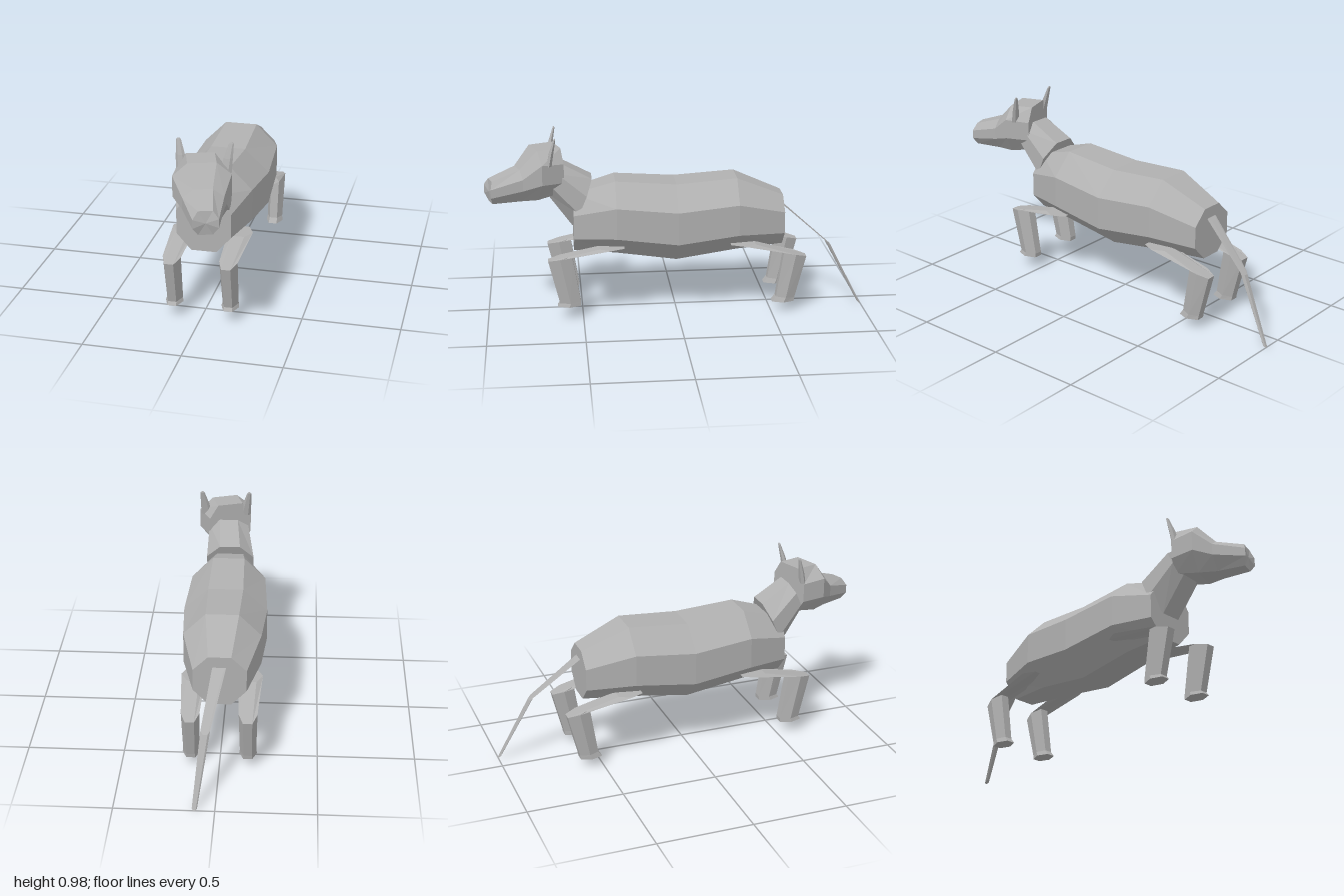
import * as THREE from 'three';

const coat = new THREE.MeshStandardMaterial({ color: 0xb0b0b0, flatShading: true });
coat.name = 'grey coat';

// Skin a list of equal-length rings into a closed, faceted solid facing outward
function loft(name, rings) {
  const tris = [];
  const n = rings[0].length;
  for (let r = 0; r < rings.length - 1; r++) {
    for (let i = 0; i < n; i++) {
      const j = (i + 1) % n;
      const a = rings[r][i], b = rings[r][j], c = rings[r + 1][j], d = rings[r + 1][i];
      tris.push([a, b, c], [a, c, d]);
    }
  }
  const cap = (ring, flip) => {
    const mid = ring.reduce((s, p) => s.add(p), new THREE.Vector3()).divideScalar(n);
    ring.forEach((p, i) => {
      const q = ring[(i + 1) % n];
      tris.push(flip ? [mid, q, p] : [mid, p, q]);
    });
  };
  cap(rings[0], true);
  cap(rings[rings.length - 1], false);

  // A negative enclosed volume means the faces point inward
  const volume = tris.reduce((s, [a, b, c]) => s + a.dot(b.clone().cross(c)), 0);
  const points = tris.flatMap(([a, b, c]) => (volume < 0 ? [a, c, b] : [a, b, c]));
  const geometry = new THREE.BufferGeometry().setFromPoints(points);
  geometry.computeVertexNormals();
  const mesh = new THREE.Mesh(geometry, coat);
  mesh.name = name;
  return mesh;
}

// Octagon across x: four [y, z] levels from top to bottom, narrow at both ends
function octagon(x, narrow, wide, levels) {
  const half = [narrow, wide, wide, narrow];
  const left = levels.map(([y, z], i) => new THREE.Vector3(x + half[i], y, z));
  const right = levels.map(([y, z], i) => new THREE.Vector3(x - half[i], y, z));
  return [...left, ...right.reverse()];
}

// Upright octagon at a single z
const upright = (z, narrow, wide, ys) => octagon(0, narrow, wide, ys.map((y) => [y, z]));

// Hexagon lying nearly flat; slope is the change of y per unit of z
function hexagon(x, y, z, halfX, halfZ, slope = 0) {
  return [[1, 0], [0.5, 1], [-0.5, 1], [-1, 0], [-0.5, -1], [0.5, -1]].map(
    ([u, v]) => new THREE.Vector3(x + u * halfX, y + v * halfZ * slope, z + v * halfZ));
}

export function createModel() {
  const model = new THREE.Group();
  model.name = 'animal';

  // Barrel body
  model.add(loft('body', [
    upright(0.54, 0.065, 0.14, [0.655, 0.555, 0.43, 0.345]),
    upright(0.32, 0.085, 0.2, [0.72, 0.605, 0.44, 0.33]),
    upright(0, 0.092, 0.22, [0.697, 0.578, 0.405, 0.285]),
    upright(-0.32, 0.085, 0.2, [0.72, 0.605, 0.44, 0.33]),
    upright(-0.57, 0.058, 0.135, [0.615, 0.54, 0.425, 0.345]),
  ]));

  // Neck leaning forward into the head
  model.add(loft('neck', [
    octagon(0, 0.055, 0.13, [[0.73, 0.44], [0.655, 0.47], [0.56, 0.51], [0.478, 0.545]]),
    octagon(0.015, 0.05, 0.108, [[0.82, 0.6], [0.78, 0.62], [0.71, 0.65], [0.66, 0.675]]),
  ]));

  // Head turned toward its left
  const head = loft('head', [
    upright(-0.125, 0.07, 0.118, [0.905, 0.83, 0.73, 0.665]),
    upright(0, 0.07, 0.142, [0.902, 0.84, 0.735, 0.64]),
    upright(0.09, 0.045, 0.1, [0.805, 0.765, 0.705, 0.637]),
    octagon(0, 0.035, 0.062, [[0.757, 0.235], [0.72, 0.25], [0.675, 0.25], [0.637, 0.235]]),
  ]);
  head.position.set(0.045, 0, 0.74);
  head.rotation.y = 0.31;
  model.add(head);

  // Ears
  for (const side of [1, -1]) {
    const ear = [
      [0.108, 0.83, 0.66, 0.03, 0.013],
      [0.118, 0.9, 0.647, 0.023, 0.011],
      [0.13, 0.97, 0.63, 0.012, 0.005],
      [0.13, 0.977, 0.629, 0.006, 0.003],
    ];
    model.add(loft(side > 0 ? 'leftEar' : 'rightEar',
      ear.map(([x, y, z, w, d]) => hexagon(0.033 + side * x, y, z, w, d))));
  }

  // Legs: flat thigh, bent knee, straight shin, slightly flared foot
  for (const side of [1, -1]) {
    const x = side * 0.145;
    model.add(loft('frontLeg', [
      hexagon(side * 0.147, 0.382, 0.345, 0.063, 0.065),
      hexagon(x, 0.334, 0.617, 0.047, 0.062, -0.22),
      hexagon(x, 0.088, 0.567, 0.042, 0.055, -0.05),
      hexagon(x, 0.068, 0.574, 0.046, 0.06),
    ]));
    model.add(loft('backLeg', [
      hexagon(side * 0.147, 0.382, -0.345, 0.063, 0.065),
      hexagon(x, 0.321, -0.624, 0.047, 0.059, 0.28),
      hexagon(x, 0.078, -0.575, 0.042, 0.05, 0.05),
      hexagon(x, 0.053, -0.563, 0.046, 0.058),
    ]));
  }

  // Drooping tail, bent once
  const tail = [[0, 0.565, -0.56, 0.035, 0.03], [0.056, 0.345, -0.815, 0.024, 0.016],
    [0.1, 0.008, -0.99, 0.013, 0.01]];
  model.add(loft('tail', tail.map(([x, y, z, w, d]) => hexagon(x, y, z, w, d, 0.8))));

  return model;
}
